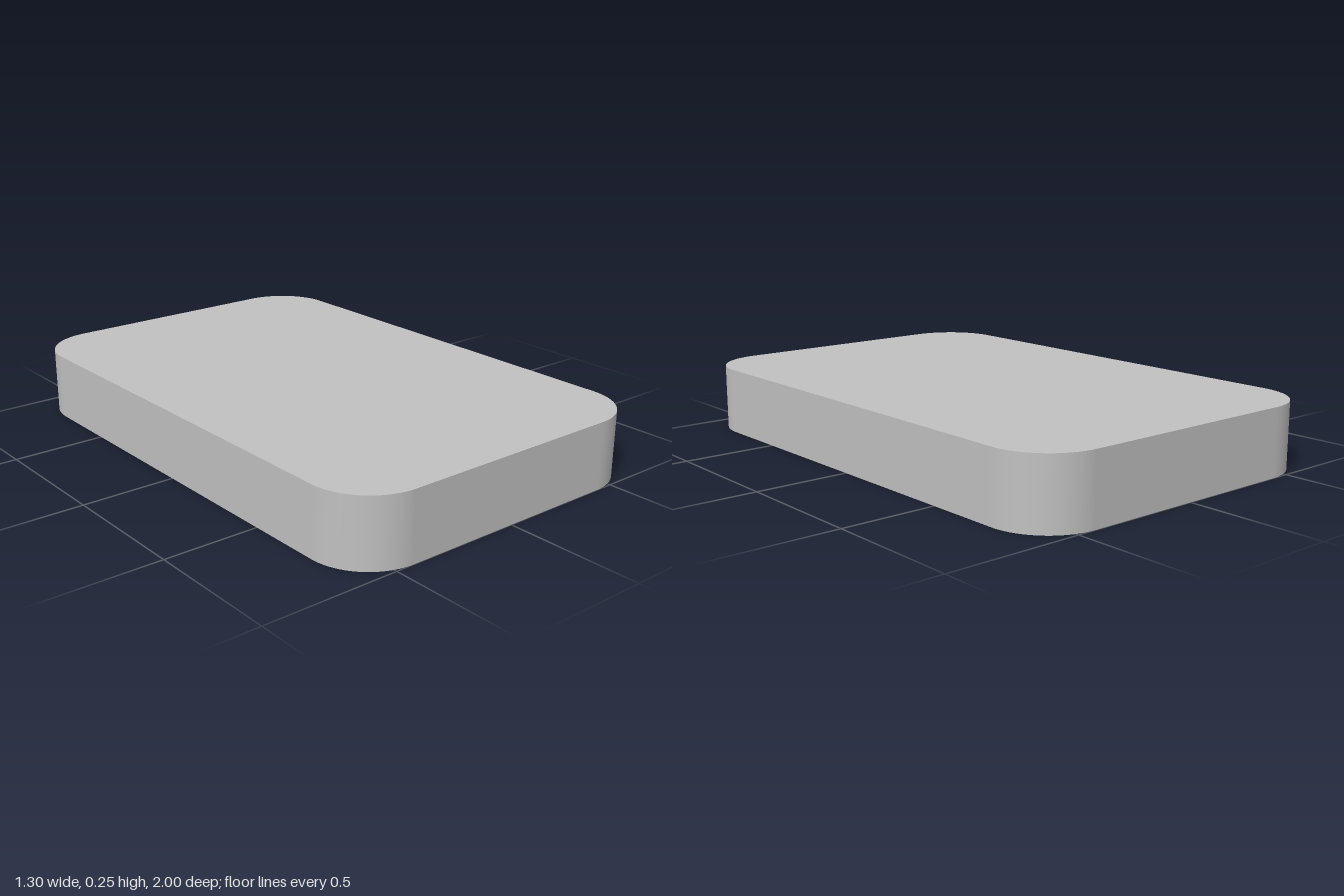
import * as THREE from 'three';

const HEIGHT = 0.25, SLOT_DEPTH = 0.18, HOLE_DEPTH = 0.08, SEGMENTS = 16;

// Rounded rectangle centred on the origin, from half sizes and corner radius.
function roundedRect(w, l, r, Type = THREE.Shape) {
  const s = new Type();
  s.absarc(w - r, l - r, r, 0, Math.PI / 2, false);
  s.absarc(r - w, l - r, r, Math.PI / 2, Math.PI, false);
  s.absarc(r - w, r - l, r, Math.PI, Math.PI * 1.5, false);
  s.absarc(w - r, r - l, r, Math.PI * 1.5, Math.PI * 2, false);
  s.closePath();
  return s;
}

function circle(x, r) {
  const s = new THREE.Shape();
  s.absarc(x, 0, r, 0, Math.PI * 2, false);
  return s;
}

// Smooth vertical wall along a closed outline, facing outward or inward.
function wallGeometry(shape, y0, y1, inward) {
  const pts = shape.getPoints(SEGMENTS).filter((p, i, a) => p.distanceTo(a[(i + 1) % a.length]) > 1e-5);
  const positions = [], index = [], n = pts.length;
  pts.forEach((p, i) => {
    positions.push(p.x, y0, -p.y, p.x, y1, -p.y);
    const a = 2 * i, b = 2 * ((i + 1) % n);
    if (inward) index.push(a, b + 1, b, a, a + 1, b + 1);
    else index.push(a, b, b + 1, a, b + 1, a + 1);
  });
  const g = new THREE.BufferGeometry();
  g.setAttribute('position', new THREE.Float32BufferAttribute(positions, 3));
  g.setIndex(index);
  g.computeVertexNormals();
  return g;
}

// Flat horizontal face, looking up or down.
function faceGeometry(shape, y, up) {
  return new THREE.ShapeGeometry(shape, SEGMENTS).rotateX(up ? -Math.PI / 2 : Math.PI / 2).translate(0, y, 0);
}

export function createModel() {
  const grey = new THREE.MeshStandardMaterial({ color: 0xc0c0c0 });
  grey.name = 'grey';
  const group = new THREE.Group();
  group.name = 'mountingPlate';
  const add = (name, geometry) => {
    const mesh = new THREE.Mesh(geometry, grey);
    mesh.name = name;
    group.add(mesh);
  };

  const outline = () => roundedRect(0.65, 1, 0.22);
  const pockets = [
    { name: 'slot', shape: roundedRect(0.235, 0.93, 0.155), depth: SLOT_DEPTH },
    { name: 'leftHole', shape: circle(0.49, 0.096), depth: HOLE_DEPTH },
    { name: 'rightHole', shape: circle(-0.49, 0.096), depth: HOLE_DEPTH },
  ];

  // Outer body
  add('top', faceGeometry(outline(), HEIGHT, true));
  add('sides', wallGeometry(outline(), 0, HEIGHT, false));

  // Underside with openings
  const underside = outline();
  underside.holes = pockets.map((p) => p.shape);
  add('underside', faceGeometry(underside, 0, false));

  // Blind pockets cut up into the body
  for (const { name, shape, depth } of pockets) {
    add(name + 'Wall', wallGeometry(shape, 0, depth, true));
    add(name + 'Floor', faceGeometry(shape, depth, false));
  }
  return group;
}
